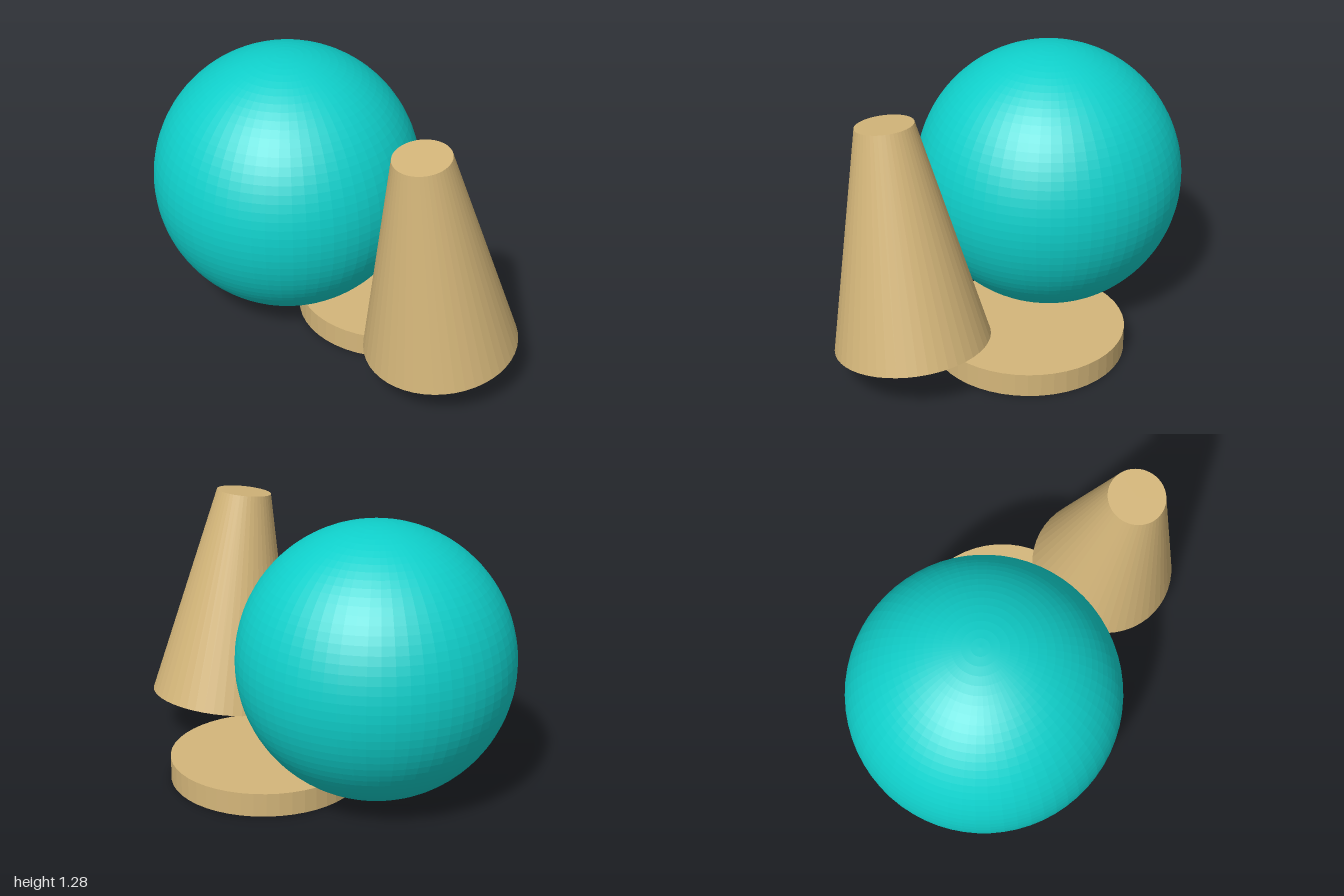
import * as THREE from 'three';

export function createModel() {
  const model = new THREE.Group();
  model.name = 'model';

  const teal = new THREE.MeshStandardMaterial({ color: 0x0fd0cb, flatShading: true });
  teal.name = 'teal';
  const tan = new THREE.MeshStandardMaterial({ color: 0xd4b67a, flatShading: true });
  tan.name = 'tan';

  const add = (name, geometry, material, x, y, z) => {
    const mesh = new THREE.Mesh(geometry, material);
    mesh.name = name;
    mesh.position.set(x, y, z);
    model.add(mesh);
    return mesh;
  };

  // Large ball resting on the ground
  add('ball', new THREE.SphereGeometry(0.64, 64, 48), teal, -0.36, 0.643, 0.055);

  // Low disc partly beneath the ball
  add('disc', new THREE.CylinderGeometry(0.451, 0.451, 0.112, 48), tan, 0.075, 0.058, -0.245);

  // Truncated cone, leaning forward
  const cone = add('truncatedCone', new THREE.CylinderGeometry(0.132, 0.356, 1.037, 48), tan, 0.642, 0.7, 0);
  cone.rotation.x = 0.14;

  return model;
}
